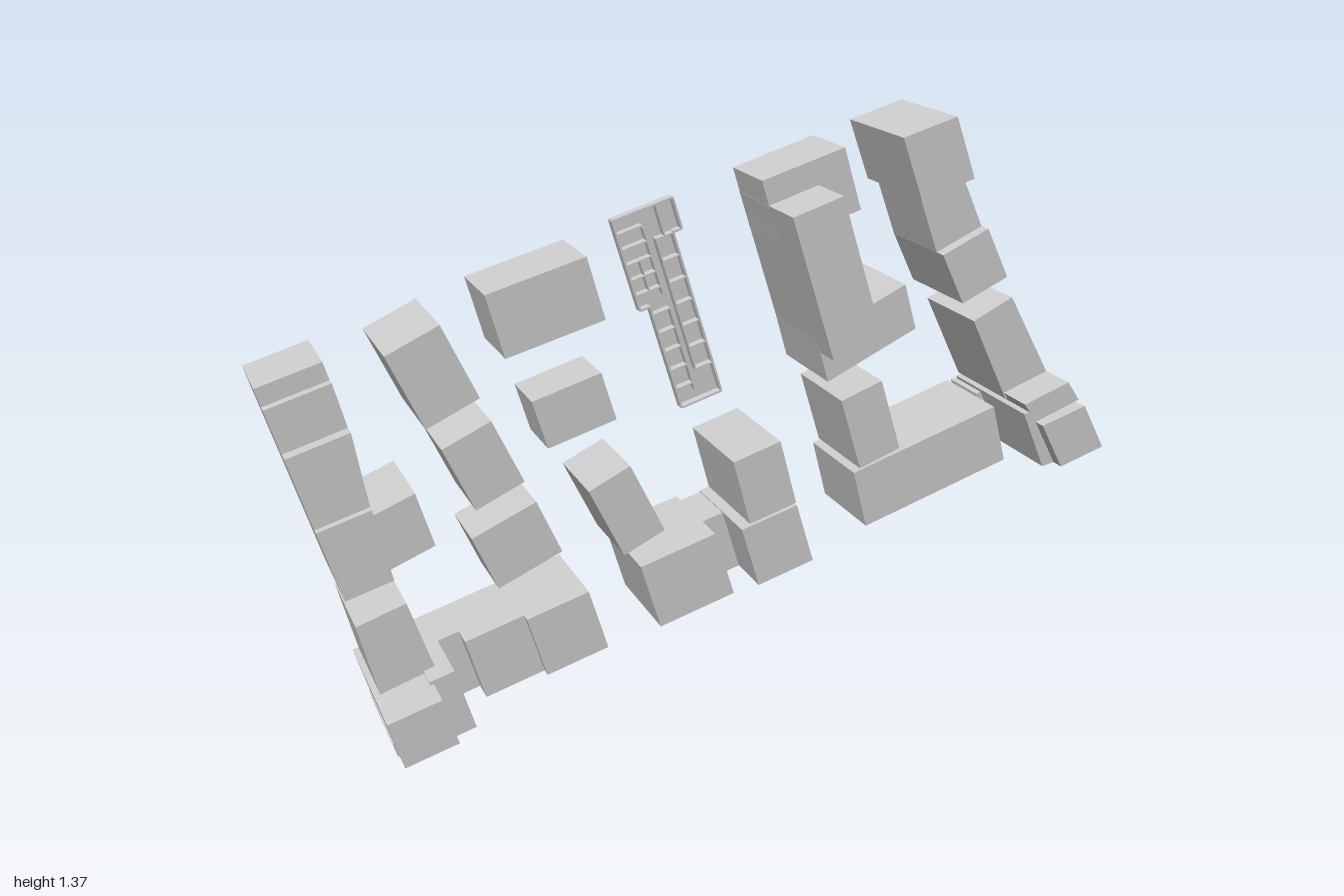
import * as THREE from 'three';
import { mergeGeometries } from 'three/addons/utils/BufferGeometryUtils.js';

const BASE = -0.195;
const STREET = 16.8; // main street direction in degrees
const material = new THREE.MeshStandardMaterial({ color: 0xcccccc, flatShading: true, side: THREE.DoubleSide });

// Flat roof plus side walls over a footprint, open at the base
function buildingGeometry(corners, top) {
  const roof = new THREE.ShapeGeometry(new THREE.Shape(corners)).toNonIndexed();
  roof.translate(0, 0, top);
  roof.deleteAttribute('uv');
  const pos = [];
  corners.forEach((a, i) => {
    const b = corners[(i + 1) % corners.length];
    pos.push(a.x, a.y, BASE, b.x, b.y, BASE, b.x, b.y, top);
    pos.push(a.x, a.y, BASE, b.x, b.y, top, a.x, a.y, top);
  });
  const walls = new THREE.BufferGeometry();
  walls.setAttribute('position', new THREE.Float32BufferAttribute(pos, 3));
  walls.computeVertexNormals();
  return mergeGeometries([roof, walls]);
}

// Adds one building (hundredths of a unit) from its lower left corner. deg turns the
// width, lean the sides; topWidth tapers it. Returns the corners where neighbours start.
function block(model, name, level, [x, y], w, h, deg = STREET, lean = deg, topWidth = w) {
  const a = THREE.MathUtils.degToRad(deg);
  const b = THREE.MathUtils.degToRad(lean);
  const along = new THREE.Vector2(Math.cos(a), Math.sin(a));
  const start = new THREE.Vector2(x, y);
  const end = start.clone().addScaledVector(along, w);
  const up = start.clone().addScaledVector(new THREE.Vector2(-Math.sin(b), Math.cos(b)), h);
  const far = up.clone().addScaledVector(along, topWidth);
  const corners = [start, end, far, up].map((p) => p.clone().multiplyScalar(0.01));
  const mesh = new THREE.Mesh(buildingGeometry(corners, level / 100), material);
  mesh.name = name;
  model.add(mesh);
  return { right: end.toArray(), above: up.toArray() };
}

// Thin building cut open to show its rooms, in its own straight axes
function createFloorPlan() {
  const plan = new THREE.Group();
  plan.name = 'floorPlan';
  const outline = [[0, 0], [0.108, 0], [0.107, 0.423], [0.13, 0.423], [0.13, 0.502],
    [-0.026, 0.502], [-0.026, 0.272], [0, 0.272]];
  const shape = new THREE.Shape(outline.map(([x, y]) => new THREE.Vector2(x, y)));
  const floor = new THREE.Mesh(new THREE.ExtrudeGeometry(shape, { depth: 0.004, bevelEnabled: false }), material);
  floor.position.z = -0.197;
  floor.name = 'floor';
  plan.add(floor);

  const wall = (name, x0, y0, x1, y1, t = 0.003) => {
    const length = Math.hypot(x1 - x0, y1 - y0);
    const mesh = new THREE.Mesh(new THREE.BoxGeometry(length, t, 0.025), material);
    mesh.position.set((x0 + x1) / 2, (y0 + y1) / 2, -0.183);
    mesh.rotation.z = Math.atan2(y1 - y0, x1 - x0);
    mesh.name = name;
    plan.add(mesh);
  };
  outline.forEach(([x, y], i) => {
    const [x1, y1] = outline[(i + 1) % outline.length];
    wall('outerWall', x, y, x1, y1, 0.005);
  });
  // corridor walls and evenly spaced room partitions
  wall('corridorWall', 0.045, 0.03, 0.045, 0.25);
  wall('corridorWall', 0.062, 0.08, 0.062, 0.423);
  wall('corridorWall', 0.04, 0.29, 0.04, 0.46);
  for (let i = 0; i < 5; i++) {
    wall('leftPartition', 0, 0.05 * (i + 1), 0.045, 0.05 * (i + 1));
    wall('upperPartition', -0.026, 0.31 + 0.039 * i, 0.04, 0.31 + 0.039 * i);
  }
  for (let i = 0; i < 7; i++) wall('rightPartition', 0.062, 0.08 + 0.057 * i, 0.107, 0.08 + 0.057 * i);
  wall('partition', 0.01, 0.31, 0.01, 0.388);
  wall('partition', 0.085, 0.423, 0.085, 0.502);
  plan.position.set(0.024, 0.66, 0);
  plan.rotation.z = 0.294;
  return plan;
}

export function createModel() {
  const model = new THREE.Group();
  model.name = 'cityBlocks';
  const add = (...args) => block(model, ...args);

  // Lower left: corner tower, strip beside it, and a row along the street
  add('cornerStrip', 8.3, [-76.2, 0], 12.6, 3.5);
  add('cornerTower', 20, [-76.9, 3.5], 13, 11.8);
  add('sideHouse', 6, [-78.9, 15.2], 13.5, 17.9, 18.5, 14.5, 12.2);
  let corner = [-64.4, 4.2];
  for (const [level, width] of [[11.8, 6.1], [-4.5, 5.3], [1.5, 14.8], [4, 15.7]]) {
    corner = add('rowHouse', level, corner, width, 15.6).right;
  }

  // Far left: column of houses widening upward, with a side wing
  corner = [-85.3, 39.3];
  for (const [level, height, width, topWidth] of [
    [6.5, 17.6, 11.5, 12.8], [4.5, 17.6, 12.8, 15], [1, 10.7, 15, 15.4], [-1.5, 4.4, 15.4, 15.4]]) {
    corner = add('columnHouse', level, corner, width, height, 16.5, 17, topWidth).above;
  }
  add('columnWing', 3, [-74.6, 43.6], 11.5, 13.6, 22, 17);

  // Detached houses: level, x, y, width, height, turn
  for (const [level, x, y, w, h, deg] of [
    [4, -65, 75.7, 13.6, 19.2, 25], [0, -53.7, 53.7, 12.7, 17, 25],
    [-3, -48.4, 32.4, 17, 14.5, 24], [-1.5, -45.2, 88, 24.4, 15.5, 15.7],
    [-5, -35, 64.4, 17.4, 12.2, 16.8], [1, -19, 37.7, 11.3, 19.1, 26]]) {
    add('detachedHouse', level, [x, y], w, h, deg);
  }

  // Lower middle: three joined houses and one behind
  corner = [-12, 20.6];
  for (const [level, width, height] of [[6.5, 19.4, 16.7], [-4.5, 6.1, 15.2], [8, 14.7, 15.5]]) {
    corner = add('middleHouse', level, corner, width, height).right;
  }
  add('middleRearHouse', 7, [10.4, 43.6], 12.4, 16.6, 17.2, 15);

  // Lower right: angled block ending in a stepped corner
  add('angledBlock', 4, [42.5, 37.2], 39.9, 14.8, 17.9, 14.5);
  add('angledBlockLimb', 4, [40.4, 52.5], 11.2, 18.6, 20, 17);
  add('cornerGap', -6.5, [80.5, 49.2], 5, 14.9, 17, 10.5, 1.3);
  add('cornerShoulder', 14, [85.3, 50.5], 3.3, 15.4, 11, 23);
  add('cornerShoulder', 14, [82.6, 62.3], 12.6, 5.8, 20, 34);
  add('cornerBlock', 17.3, [88.5, 51.1], 12.1, 12.7, 17.8, 27.8);
  add('rightHouse', 4, [79.9, 65.5], 12.7, 23.2, 26, 25.8, 11.4);

  // Upper right: stepped row and tall slab with wings
  add('rightRowLower', 5.7, [65.5, 91.7], 13, 13.6, 24.6, 25.6);
  add('rightRowMiddle', 2.5, [59.6, 104], 13, 15.3, 19.2, 20, 11.8);
  add('rightRowTop', 8.3, [51.9, 118.2], 14.2, 15.6, 16.4, 19.8);
  add('slabRear', -2, [20.9, 108.4], 21.6, 15.6, 17);
  add('tallSlab', 11.5, [29, 83], 13, 36.1, 17.6);
  add('slabWing', 4.5, [31, 75.7], 25.1, 11.5, 25.2, 16);

  model.add(createFloorPlan());
  return model;
}
